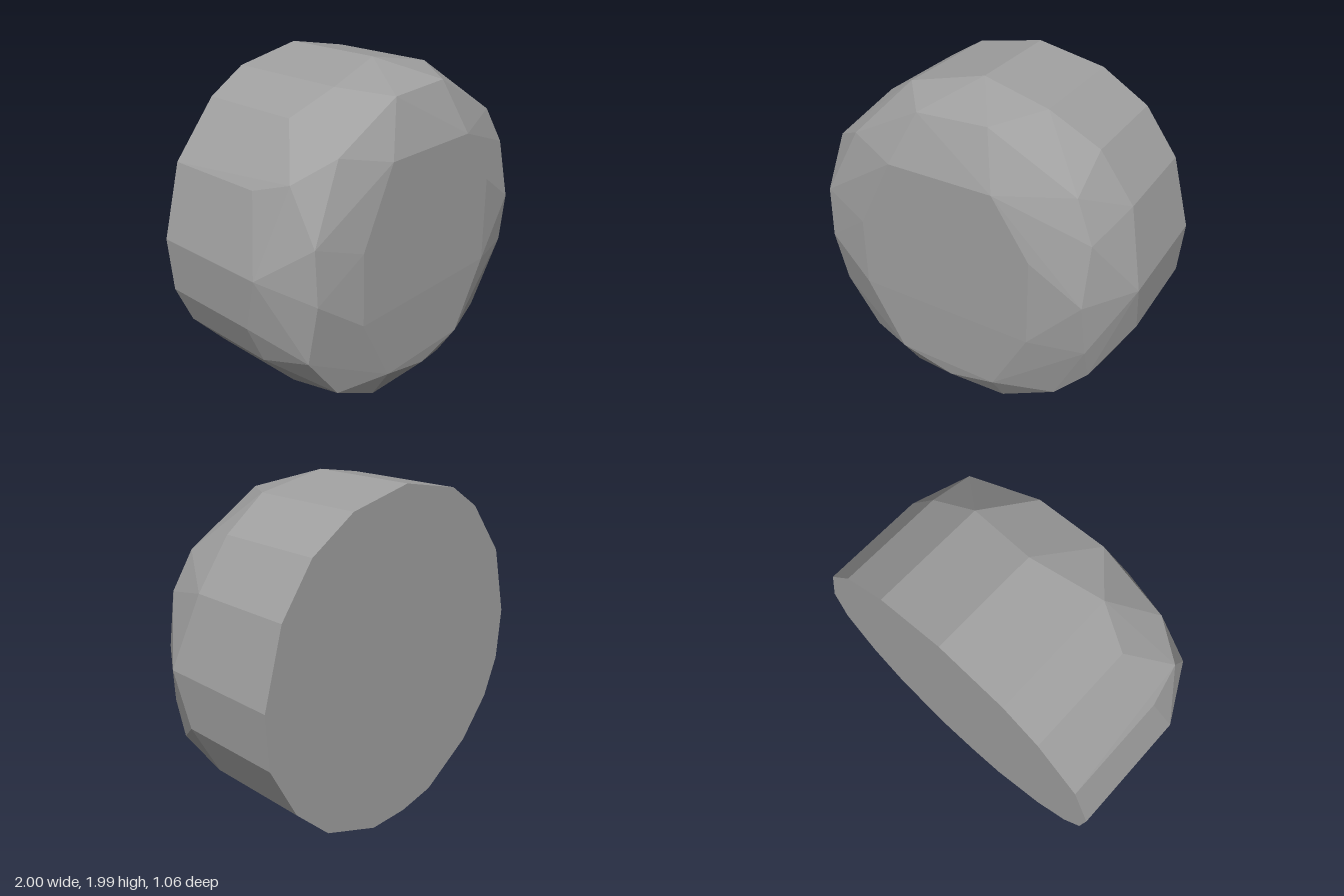
import * as THREE from 'three';
import { ConvexGeometry } from 'three/addons/geometries/ConvexGeometry.js';

const BACK_Z = -0.53;

// Outer wall: x, y and the depth where the straight side ends
const wall = [
  [0, 1.99, 0.09], [0.4, 1.91, 0.13], [0.68, 1.74, 0.09], [0.88, 1.47, 0.09],
  [1, 1.05, 0.2], [0.98, 0.73, 0.1], [0.81, 0.4, 0.1], [0.58, 0.17, 0.12],
  [0.2, 0.01, 0.18], [-0.07, 0, 0.19], [-0.32, 0.04, 0.12], [-0.67, 0.25, 0.1],
  [-0.88, 0.49, 0.1], [-0.98, 0.73, 0.1], [-1, 1.05, 0.2], [-0.88, 1.47, 0.09],
  [-0.62, 1.78, 0.09], [-0.4, 1.915, 0.19],
];

// Chipped bevel between the wall and the front face
const bevel = [
  [-0.2, 1.87, 0.43], [0.21, 1.88, 0.41], [0.7, 1.61, 0.38], [0.81, 1.39, 0.42],
  [0.81, 1.05, 0.49], [0.83, 0.73, 0.45], [0.83, 0.52, 0.38], [0.64, 0.31, 0.4],
  [0.3, 0.11, 0.39], [0, 0.22, 0.5], [-0.32, 0.11, 0.39], [-0.62, 0.28, 0.4],
  [-0.83, 0.57, 0.4], [-0.83, 0.94, 0.48], [-0.83, 1.25, 0.47], [-0.83, 1.54, 0.31],
  [-0.62, 1.65, 0.43],
];

// Nearly flat front face
const face = [
  [-0.33, 1.58, 0.53], [0.3, 1.58, 0.53], [0.52, 1.25, 0.53], [0.52, 0.73, 0.53],
  [0.3, 0.31, 0.515], [-0.33, 0.31, 0.515], [-0.55, 0.73, 0.53], [-0.55, 1.15, 0.53],
];

export function createModel() {
  const group = new THREE.Group();
  group.name = 'facetedStone';

  const stone = new THREE.MeshStandardMaterial({ color: 0xa0a0a0, flatShading: true });
  stone.name = 'stone grey';

  // The wall runs straight to a flat back; the hull joins all the facets
  const back = wall.map(([x, y]) => [x, y, BACK_Z]);
  const points = [...back, ...wall, ...bevel, ...face].map((p) => new THREE.Vector3(...p));
  const body = new THREE.Mesh(new ConvexGeometry(points), stone);
  body.name = 'stoneBody';
  group.add(body);

  return group;
}
